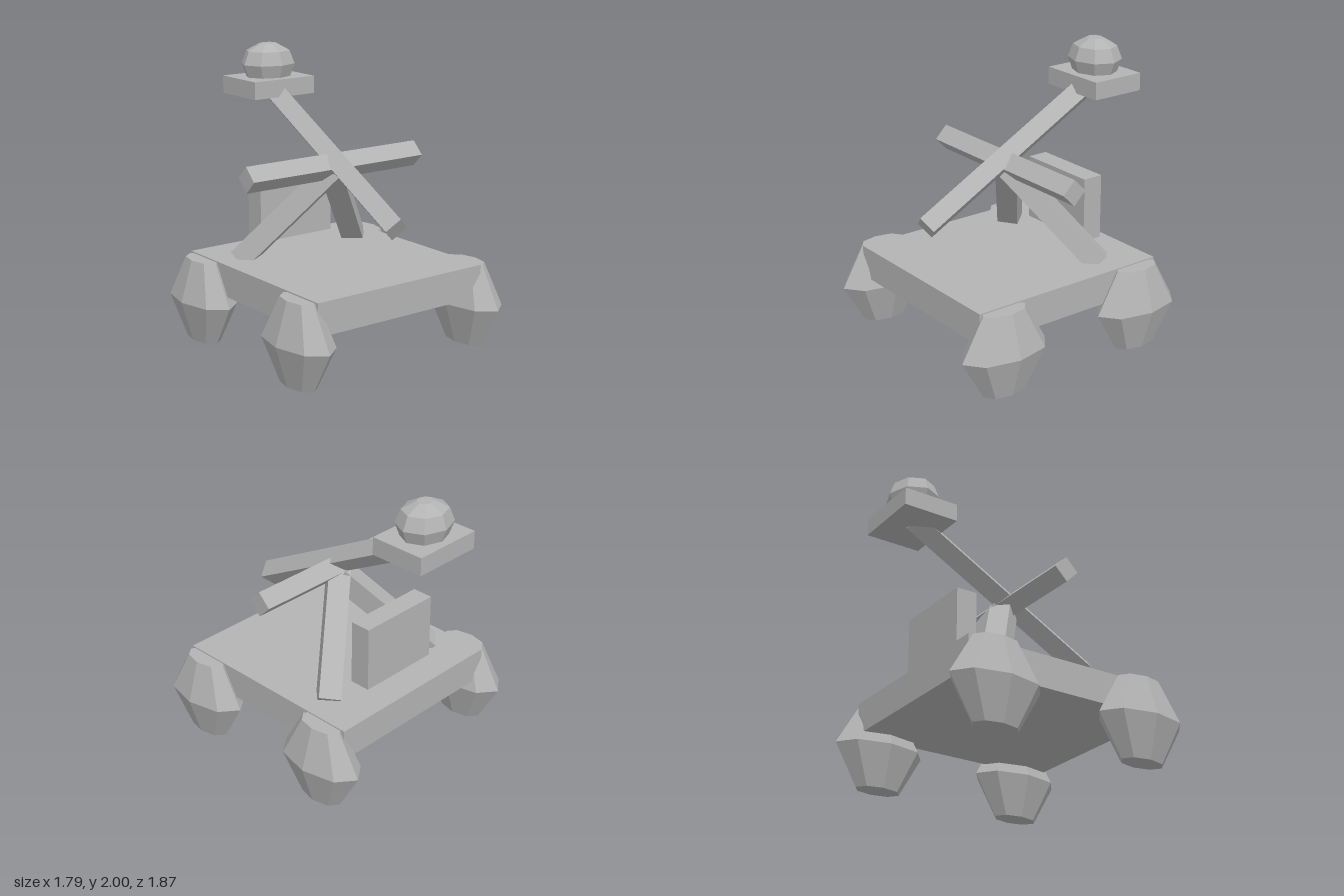
import * as THREE from 'three';

export function createModel() {
  const model = new THREE.Group();
  model.name = 'catapult';
  const grey = new THREE.MeshStandardMaterial({ color: 0xb3b3b3, flatShading: true });
  grey.name = 'plain grey';

  const add = (name, geometry) => {
    const mesh = new THREE.Mesh(geometry, grey);
    mesh.name = name;
    model.add(mesh);
    return mesh;
  };

  // Upright box given by its limits on each axis
  const block = (name, [x0, x1], [y0, y1], [z0, z1]) =>
    add(name, new THREE.BoxGeometry(x1 - x0, y1 - y0, z1 - z0))
      .position.set((x0 + x1) / 2, (y0 + y1) / 2, (z0 + z1) / 2);

  // Square beam between two points; up sets the roll about its length
  const beam = (name, from, to, size, up) => {
    const a = new THREE.Vector3(...from);
    const b = new THREE.Vector3(...to);
    const mesh = add(name, new THREE.BoxGeometry(size, size, a.distanceTo(b)));
    mesh.position.copy(a).add(b).multiplyScalar(0.5);
    mesh.up.set(...up).normalize();
    mesh.lookAt(b);
  };

  // Eight-sided turned solid, squashed to an oval in x and z
  const turned = (name, profile, sx, sz, x, y, z) => {
    const points = profile.map(([r, h]) => new THREE.Vector2(r, h));
    const geometry = new THREE.LatheGeometry(points, 8);
    geometry.scale(sx, 1, sz);
    add(name, geometry).position.set(x, y, z);
  };

  // Deck and rear board
  block('deck', [-0.693, 0.693], [0.36, 0.587], [-0.71, 0.78]);
  block('rearBoard', [-0.306, 0.306], [0.65, 1.11], [-0.553, -0.403]);

  // Four faceted wheels
  const wheelProfile = [[0, 0], [0.5, 0], [1, 0.29], [0.5, 0.578], [0, 0.578]];
  for (const side of [1, -1]) {
    const label = side > 0 ? 'Left' : 'Right';
    turned('front' + label + 'Wheel', wheelProfile, 0.178, 0.333, side * 0.717, 0, 0.604);
    turned('back' + label + 'Wheel', wheelProfile, 0.178, 0.333, side * 0.717, 0, -0.526);

    // Sloping brace from the deck up to the crossbar
    beam('brace' + label, [side * 0.5, 0.57, -0.375], [0, 1.205, 0.019], 0.15,
      [-side * 0.393, -0.688, 0.607]);
  }

  // Crossbar and throwing arm, both set on edge
  beam('crossbar', [-0.717, 1.238, 0.035], [0.717, 1.238, 0.035], 0.128, [0, 1, 1]);
  beam('throwingArm', [0, 0.931, 0.707], [0, 1.704, -0.73], 0.128, [1, 0.881, 0.474]);

  // Tray and faceted ball at the top of the arm
  block('tray', [-0.255, 0.255], [1.64, 1.765], [-0.935, -0.532]);
  turned('ball', [[0, 1.75], [0.8, 1.75], [1, 1.855], [0.81, 1.948], [0.3, 2], [0, 2]],
    0.204, 0.177, 0, 0, -0.736);

  return model;
}
